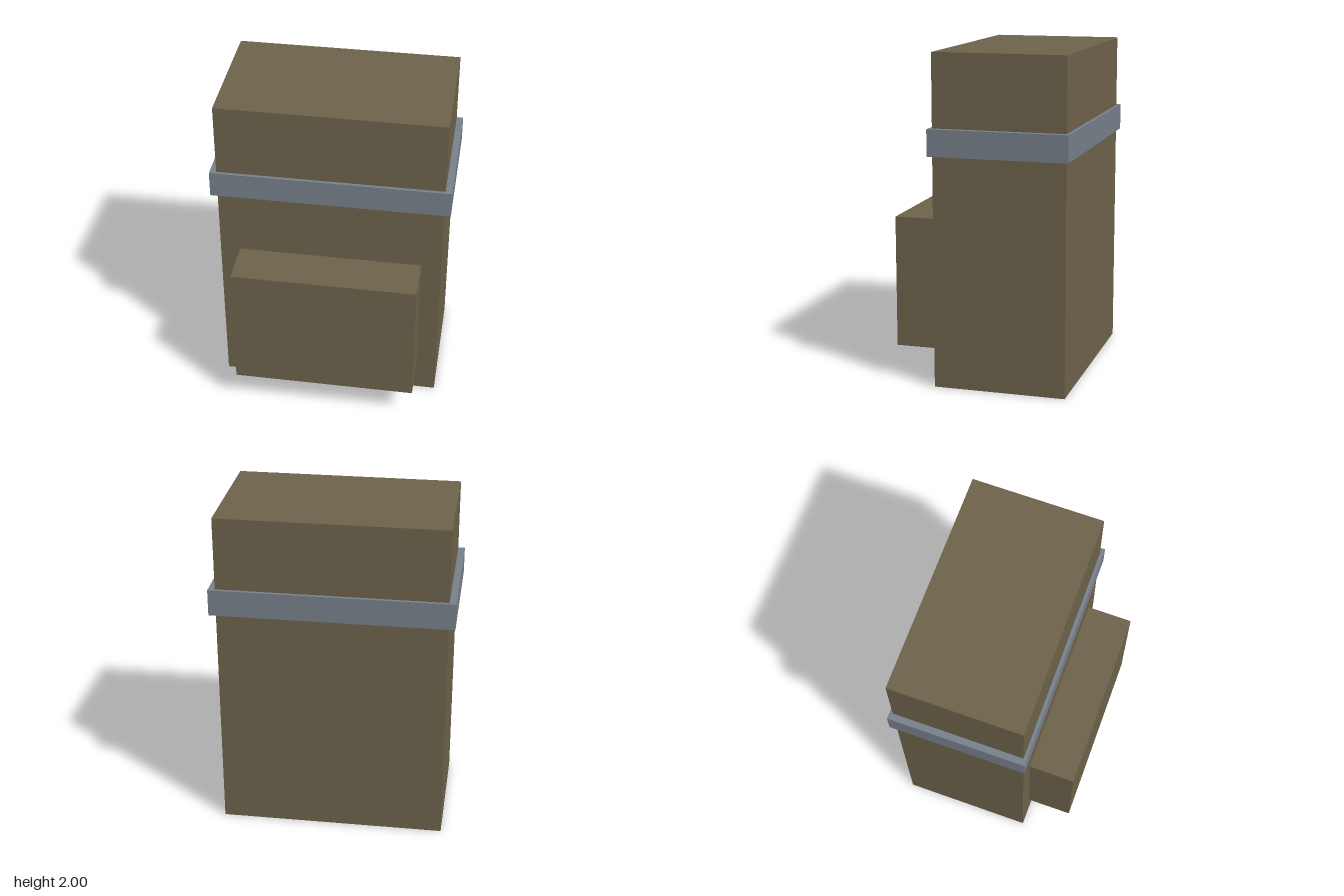
import * as THREE from 'three';

export function createModel() {
  const model = new THREE.Group();
  model.name = 'backpack';

  const canvas = new THREE.MeshStandardMaterial({ color: 0x6e634b });
  canvas.name = 'olive brown canvas';
  const strap = new THREE.MeshStandardMaterial({ color: 0x78808a });
  strap.name = 'grey strap';

  // Box spanning two opposite corners
  function block(name, min, max, material) {
    const size = max.map((v, i) => v - min[i]);
    const mesh = new THREE.Mesh(new THREE.BoxGeometry(...size), material);
    mesh.position.set(...min.map((v, i) => v + size[i] / 2));
    mesh.name = name;
    model.add(mesh);
  }

  // Main bag
  block('body', [-0.68, 0, -0.53], [0.68, 2, 0.27], canvas);
  // Pocket on the front
  block('frontPocket', [-0.56, 0.2, 0.27], [0.56, 1, 0.55], canvas);
  // Band wrapped around the upper part
  block('band', [-0.72, 1.4, -0.55], [0.72, 1.56, 0.29], strap);

  return model;
}
